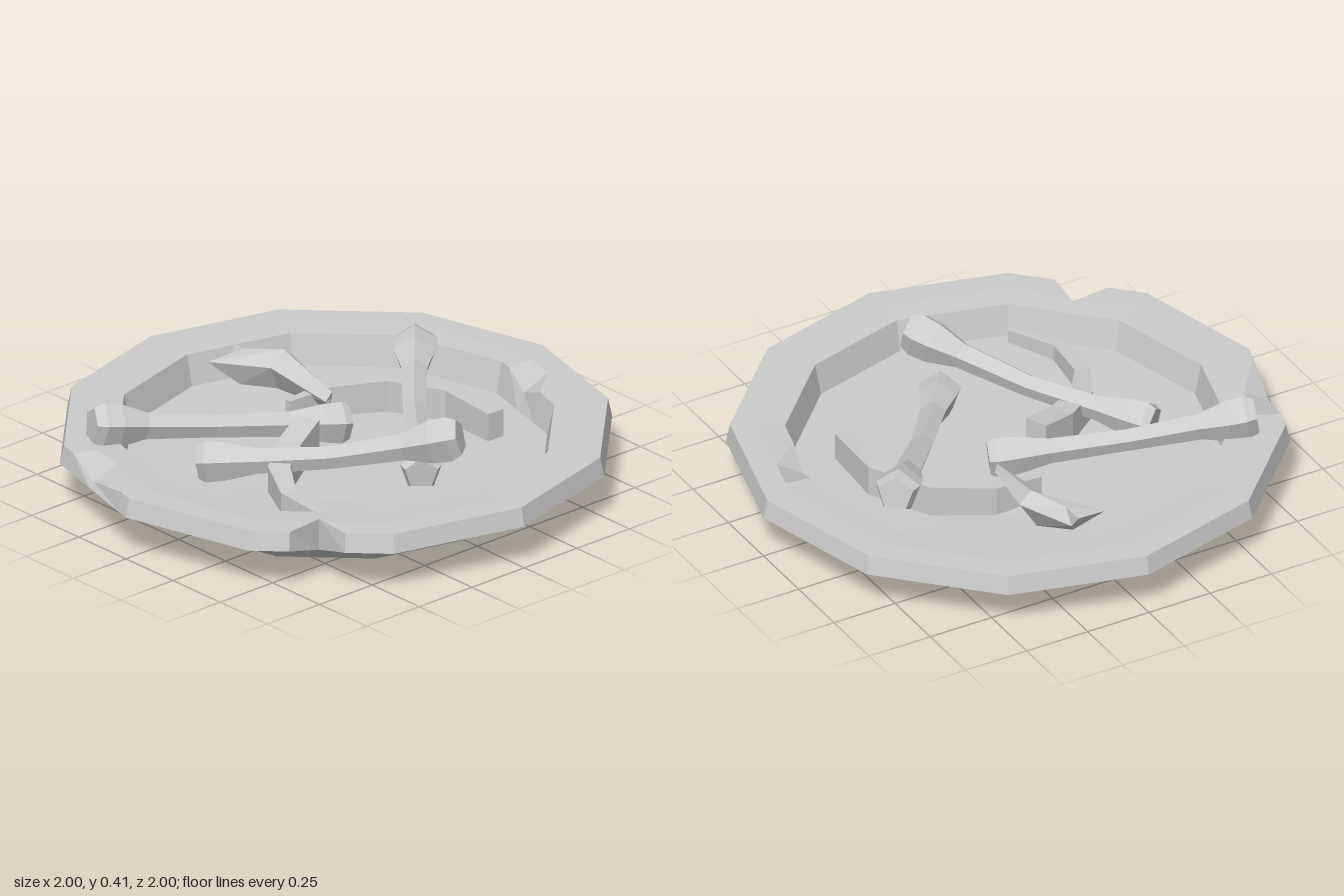
import * as THREE from 'three';

const V = (x, y, z) => new THREE.Vector3(x, y, z);
const material = new THREE.MeshStandardMaterial({ color: 0xcccccc, flatShading: true });

// Skin a list of equal-length rings, cap both ends, and face everything outwards
function loft(name, rings) {
  const tris = [];
  const n = rings[0].length;
  for (let i = 0; i < rings.length - 1; i++) {
    for (let j = 0; j < n; j++) {
      const k = (j + 1) % n;
      const [a, b, c, d] = [rings[i][j], rings[i][k], rings[i + 1][k], rings[i + 1][j]];
      tris.push([a, b, c], [a, c, d]);
    }
  }
  const cap = (ring, flip) => {
    const mid = ring.reduce((s, p) => s.add(p), V(0, 0, 0)).divideScalar(n);
    ring.forEach((p, j) => {
      const q = ring[(j + 1) % n];
      tris.push(flip ? [mid, q, p] : [mid, p, q]);
    });
  };
  cap(rings[0], true);
  cap(rings[rings.length - 1], false);
  const volume = tris.reduce((s, [a, b, c]) => s + a.dot(b.clone().cross(c)), 0);
  const points = tris.flatMap(([a, b, c]) => (volume < 0 ? [a, c, b] : [a, b, c]));
  const geometry = new THREE.BufferGeometry().setFromPoints(points);
  geometry.computeVertexNormals();
  const mesh = new THREE.Mesh(geometry, material);
  mesh.name = name;
  return mesh;
}

// Twelve-sided dish with a notch broken from the rim and two shallow dents
function plate() {
  const step = Math.PI / 6;
  const edge = (a) => { // radius of the unit twelve-gon at an angle
    const local = a - Math.floor(a / step) * step - step / 2;
    return Math.cos(step / 2) / Math.cos(local);
  };
  const stations = [];
  for (let i = 0; i < 12; i++) stations.push({ a: i * step });
  const extra = (x, z, options = {}) =>
    stations.push({ a: (Math.atan2(z, x) + 2 * Math.PI) % (2 * Math.PI), ...options });
  extra(0.74, 0.62);
  extra(0.58, 0.6, { limit: 0.834 });
  extra(0.6, 0.76);
  extra(-0.43, 0.885);
  extra(-0.27, 0.93, { outerDip: 0.045 });
  extra(-0.06, 0.985);
  extra(0.07, -0.98);
  extra(0.21, -0.944, { innerDip: 0.05 });
  extra(0.36, -0.9);
  stations.sort((p, q) => p.a - q.a);

  // radius, height, and which dent affects the ring
  const profile = [
    [0.68, 0], [0.8, 0.09], [1, 0.16], [0.985, 0.23, 'outerDip'],
    [0.89, 0.23], [0.79, 0.225, 'innerDip'], [0.765, 0.11], [0.4, 0.1],
  ];
  return loft('plate', profile.map(([r, y, dent]) => stations.map((s) => {
    const full = r * edge(s.a);
    const radius = Math.min(full, s.limit ?? 2);
    const rise = full > radius && r === 1 ? -0.05 : 0;
    return V(radius * Math.cos(s.a), y + rise - (s[dent] ?? 0), radius * Math.sin(s.a));
  })));
}

// Five-sided bone with a slim, sagging shaft and flared ends
function bone(name, start, middle, end) {
  const curve = new THREE.CatmullRomCurve3([start, middle, end]);
  const side = end.clone().sub(start).cross(V(0, 1, 0)).normalize();
  const sizes = [[0, 0.066], [0.04, 0.084], [0.11, 0.08], [0.22, 0.05], [0.5, 0.042],
    [0.78, 0.048], [0.9, 0.072], [0.97, 0.078], [1, 0.062]];
  return loft(name, sizes.map(([t, r]) => {
    const p = curve.getPoint(t);
    const up = side.clone().cross(curve.getTangent(t)).normalize();
    return Array.from({ length: 5 }, (_, i) => {
      const a = (i / 5) * 2 * Math.PI;
      return p.clone().addScaledVector(up, r * Math.cos(a)).addScaledVector(side, r * Math.sin(a));
    });
  }));
}

// Curved flat-sided rib; each point is x, z, half width, bottom, top
function rib(name, path) {
  return loft(name, path.map(([x, z, w, low, high], i) => {
    const before = path[Math.max(i - 1, 0)];
    const after = path[Math.min(i + 1, path.length - 1)];
    const out = V(before[1] - after[1], 0, after[0] - before[0]).setLength(w);
    return [V(x + out.x, low, z + out.z), V(x - out.x, low, z - out.z),
      V(x - out.x, high, z - out.z), V(x + out.x, high, z + out.z)];
  }));
}

export function createModel() {
  const model = new THREE.Group();
  model.name = 'plateOfBones';
  model.add(plate());

  // Three whole bones, raised end first
  model.add(
    bone('backBone', V(-0.26, 0.28, -0.61), V(0.07, 0.21, -0.31), V(0.42, 0.16, -0.03)),
    bone('rightBone', V(0.57, 0.34, -0.08), V(0.2, 0.22, 0.2), V(-0.17, 0.17, 0.5)),
    bone('leftBone', V(-0.46, 0.29, 0.75), V(-0.28, 0.22, 0.33), V(-0.07, 0.17, -0.12)),
  );

  // Two curved ribs lying on the floor of the plate
  model.add(
    rib('backRib', [[0.28, -0.51, 0.035, 0.09, 0.21], [0.03, -0.52, 0.04, 0.09, 0.22],
      [-0.18, -0.41, 0.035, 0.09, 0.22], [-0.29, -0.22, 0.025, 0.09, 0.21],
      [-0.3, -0.04, 0.013, 0.12, 0.2]]),
    rib('frontRib', [[-0.06, 0.08, 0.045, 0.13, 0.25], [0, 0.22, 0.045, 0.1, 0.22],
      [0.1, 0.36, 0.04, 0.09, 0.2], [0.25, 0.45, 0.03, 0.09, 0.18],
      [0.45, 0.465, 0.022, 0.09, 0.17], [0.63, 0.37, 0.012, 0.1, 0.16]]),
  );

  // Broken, jagged piece of bone: back, ridge, front, bottom of each section
  model.add(loft('bonePiece', [
    [V(-0.22, 0.21, -0.18), V(-0.2, 0.23, -0.16), V(-0.2, 0.2, -0.13), V(-0.2, 0.17, -0.15)],
    [V(-0.5, 0.25, -0.24), V(-0.49, 0.29, -0.19), V(-0.48, 0.24, -0.12), V(-0.5, 0.14, -0.17)],
    [V(-0.71, 0.25, -0.15), V(-0.62, 0.27, -0.12), V(-0.67, 0.24, 0.01), V(-0.6, 0.15, -0.08)],
  ]));
  return model;
}
